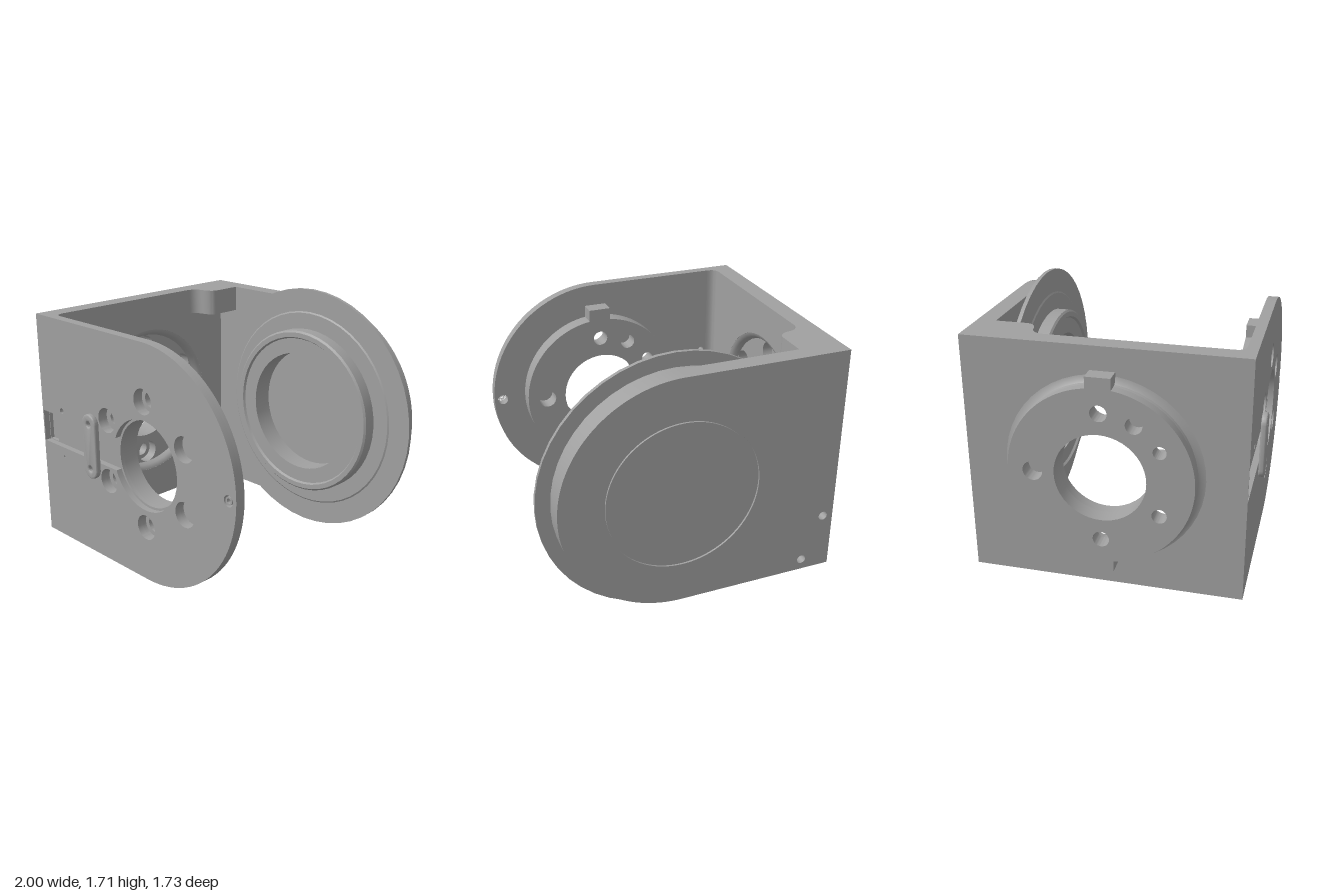
import * as THREE from 'three';
import { toCreasedNormals } from 'three/addons/utils/BufferGeometryUtils.js';

const grey = new THREE.MeshStandardMaterial({ color: 0xa0a0a0 });
grey.name = 'machined grey';

const CY = 0.85;          // height of every bore axis
const R = 0.765;          // radius of the rounded plate ends
const BOLT = 0.405;       // bolt circle radius
const BORE = 0.275;       // centre bore radius
const rad = THREE.MathUtils.degToRad;

function add(parent, name, geometry) {
  const mesh = new THREE.Mesh(toCreasedNormals(geometry, 0.5), grey);
  mesh.name = name;
  parent.add(mesh);
  return mesh;
}

// Flat slab from z0 to z1 with holes
function slab(parent, name, shape, holes, z0, z1, segments = 24) {
  shape.holes = holes;
  const geo = new THREE.ExtrudeGeometry(shape, { depth: z1 - z0, bevelEnabled: false, curveSegments: segments });
  return add(parent, name, geo.translate(0, 0, z0));
}

// Revolved profile of [radius, z] pairs about the z axis
function turned(parent, name, profile) {
  const geo = new THREE.LatheGeometry(profile.map(([r, z]) => new THREE.Vector2(r, z)), 48);
  return add(parent, name, geo.rotateX(Math.PI / 2));
}

function circle(x, y, r) {
  const s = new THREE.Shape();
  s.absarc(x, y, r, 0, Math.PI * 2);
  return s;
}
const polar = (deg, r) => circle(BOLT * Math.cos(rad(deg)), BOLT * Math.sin(rad(deg)), r);
const counterbores = () => [30, 90, 150, 210, 270, 330].map((a) => polar(a, 0.08));

function rect(x0, y0, x1, y1) {
  return new THREE.Shape([[x0, y0], [x1, y0], [x1, y1], [x0, y1]].map(([x, y]) => new THREE.Vector2(x, y)));
}

// Plate with one semicircular end, relative to the bore axis
function plateShape() {
  const s = new THREE.Shape();
  s.moveTo(-1.045, -R);
  s.lineTo(0, -R);
  s.absarc(0, 0, R, -Math.PI / 2, Math.PI / 2);
  s.lineTo(-1.045, R);
  s.closePath();
  return s;
}

// Round boss with a key at top and bottom
function bossShape(r) {
  const a = Math.asin(0.075 / r), q = Math.PI / 2;
  const s = new THREE.Shape();
  s.absarc(0, 0, r, -q + a, q - a);
  s.lineTo(0.075, 0.62);
  s.lineTo(-0.075, 0.62);
  s.absarc(0, 0, r, q + a, 3 * q - a);
  s.lineTo(-0.075, -0.62);
  s.lineTo(0.075, -0.62);
  s.closePath();
  return s;
}
const bossHoles = () => [
  circle(0, 0, BORE), polar(90, 0.05), polar(270, 0.05), polar(120, 0.05),
  polar(0, 0.06), polar(150, 0.04), polar(210, 0.045),
];

// Centre bore joined to the cable channel
function keyhole() {
  const r = 0.29, s = new THREE.Path();
  s.absarc(0, 0, r, -Math.PI + Math.asin(0.105 / r), Math.PI - Math.asin(0.11 / r));
  s.lineTo(-1.035, 0.11);
  s.lineTo(-1.035, -0.105);
  s.closePath();
  return s;
}

function frontPlate() {
  const g = new THREE.Group();
  g.name = 'frontPlate';
  g.position.set(0.145, CY, 0.755);
  const small = () => [circle(0.705, 0, 0.035), circle(-0.825, 0.15, 0.02), circle(-0.825, -0.17, 0.009)];
  slab(g, 'frontBoss', bossShape(0.545), bossHoles(), -0.105, 0);
  slab(g, 'frontPlateInner', plateShape(),
    [circle(0, 0, BORE), rect(-1.03, -0.1, -0.94, 0.105), ...counterbores(), ...small()], 0, 0.025);
  slab(g, 'frontPlateOuter', plateShape(), [keyhole(), ...counterbores(), ...small()], 0.025, 0.065);
  turned(g, 'pin', [[0.025, 0], [0.025, 0.062], [0.015, 0.062], [0.015, 0.03], [0, 0.03]]).position.x = 0.705;

  // Cable clip bridging the channel
  const clip = new THREE.Shape();
  clip.absarc(0, 0.15, 0.055, 0, Math.PI);
  clip.absarc(0, -0.15, 0.055, Math.PI, Math.PI * 2);
  clip.closePath();
  clip.holes = [circle(0, 0.15, 0.03), circle(0, -0.15, 0.03)];
  const geo = new THREE.ExtrudeGeometry(clip, {
    depth: 0.016, bevelThickness: 0.011, bevelSize: 0.011, bevelSegments: 4, curveSegments: 16,
  });
  add(g, 'cableClip', geo).position.set(-0.49, 0, 0.078);
  return g;
}

function sideWall() {
  const g = new THREE.Group();
  g.name = 'sideWall';
  g.position.set(-0.9, CY, -0.02);
  g.rotation.y = Math.PI / 2;
  const wall = () => rect(-0.775, -R, 0.73, R);
  slab(g, 'sideBoss', bossShape(0.555), bossHoles(), -0.1, 0);
  turned(g, 'sideBossFillet', [[0.555, -0.04], [0.56, -0.02], [0.575, -0.007], [0.6, 0]]);
  slab(g, 'wallOuter', wall(), [circle(0, 0, BORE), ...counterbores()], 0, 0.07);
  slab(g, 'wallInner', wall(), [circle(0, 0, 0.53)], 0.07, 0.12, 48);
  turned(g, 'recessEdge', [[0.53, 0.12], [0.515, 0.115], [0.5, 0.1], [0.49, 0.08], [0.485, 0.07]]);
  // Cable rib crossing the recess
  slab(g, 'cableRib', rect(-0.54, -0.115, -0.25, 0.115), [], 0.07, 0.12);
  return g;
}

function backPlate() {
  const g = new THREE.Group();
  g.name = 'backPlate';
  g.position.set(0.145, CY, 0);
  const small = () => [circle(-0.975, -0.38, 0.03), circle(-0.845, -0.69, 0.03)];
  slab(g, 'backPlateBody', plateShape(), small(), -0.853, -0.75);
  // Outer skin with a fine circular groove
  slab(g, 'backPlateSkin', plateShape(), [circle(0, 0, 0.495), ...small()], -0.865, -0.853, 48);
  slab(g, 'backCover', circle(0, 0, 0.482), [], -0.865, -0.853, 48);
  // Flanged ring facing the front plate
  turned(g, 'flangeRing', [
    [R, -0.75], [R, -0.72], [0.855, -0.72], [0.855, -0.695], [0.7, -0.695], [0.69, -0.688], [0.58, -0.688],
    [0.58, -0.607], [0.568, -0.595], [0.535, -0.595], [0.525, -0.61], [0.42, -0.61], [0.42, -0.75],
  ]);
  return g;
}

// Upright prism from a plan outline drawn as (x, -z)
function upright(parent, name, shape, y0, y1) {
  const geo = new THREE.ExtrudeGeometry(shape, { depth: y1 - y0, bevelEnabled: false, curveSegments: 10 });
  add(parent, name, geo.rotateX(-Math.PI / 2)).position.y = y0;
}

export function createModel() {
  const model = new THREE.Group();
  model.name = 'bracket';
  model.add(frontPlate(), sideWall(), backPlate());

  // Fillet between side wall and front plate
  const fillet = new THREE.Shape();
  fillet.moveTo(-0.78, -0.755);
  fillet.lineTo(-0.715, -0.755);
  fillet.quadraticCurveTo(-0.78, -0.755, -0.78, -0.69);
  upright(model, 'frontFillet', fillet, CY - R, CY + R);

  // Corner pads at the top and bottom of the rear corner
  const pad = () => {
    const s = new THREE.Shape();
    s.moveTo(-0.78, 0.75);
    s.lineTo(-0.78, 0.4);
    s.quadraticCurveTo(-0.775, 0.475, -0.7, 0.485);
    s.quadraticCurveTo(-0.62, 0.5, -0.62, 0.56);
    s.lineTo(-0.62, 0.75);
    s.closePath();
    return s;
  };
  upright(model, 'topCornerPad', pad(), 1.44, CY + R);
  upright(model, 'bottomCornerPad', pad(), CY - R, 0.26);
  return model;
}
